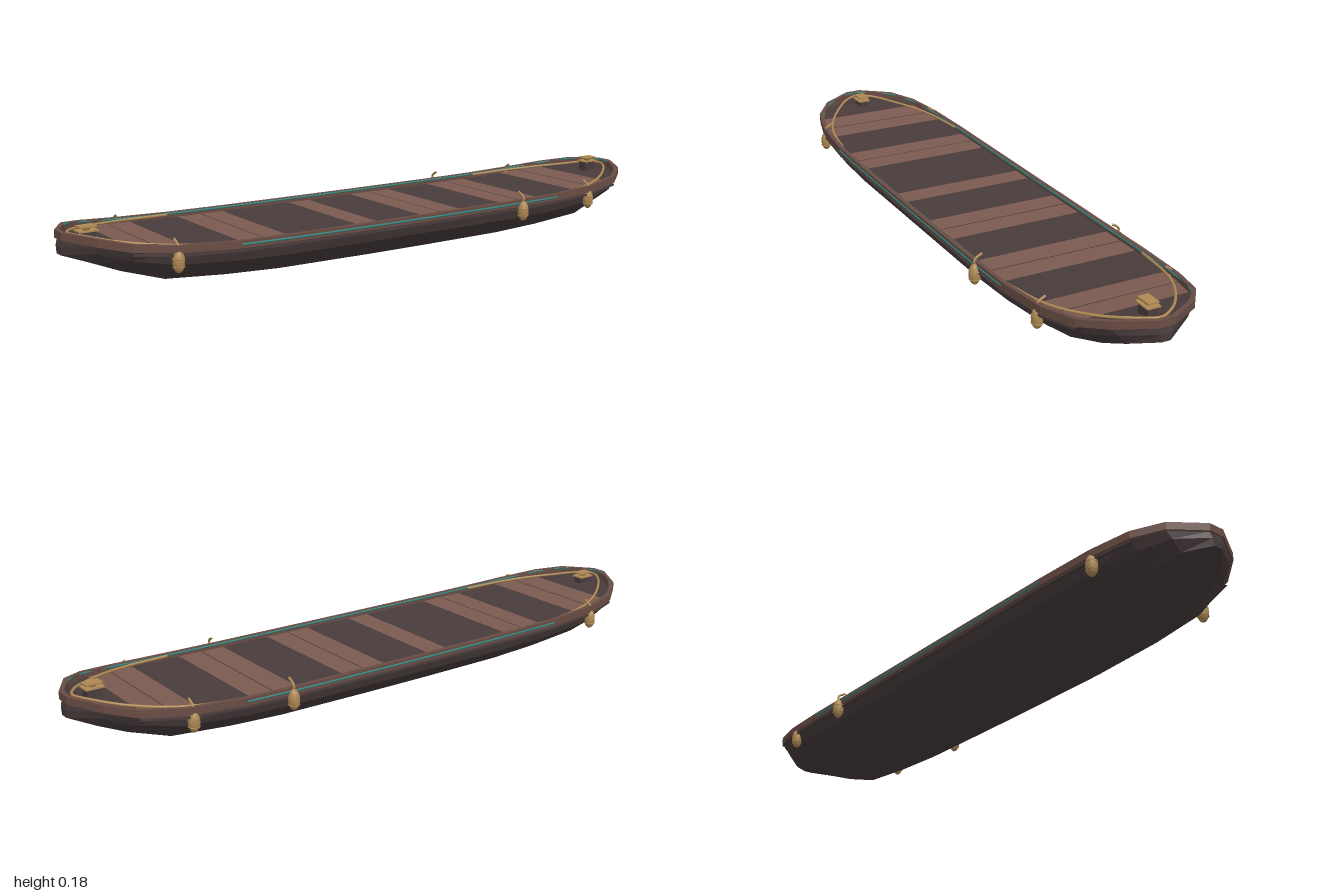
import * as THREE from 'three';

const mat = (name, color, flatShading = true, side = THREE.FrontSide) =>
  Object.assign(new THREE.MeshStandardMaterial({ color, flatShading, side }), { name });

// Stations from bow to midship:
// x, rail half width, rail top y, chine half width, chine y, bilge half width, bilge y
const S = [
  [1.0, 0.025, 0.163, 0.013, 0.1, 0.018, 0.122],
  [0.942, 0.125, 0.157, 0.077, 0.084, 0.105, 0.114],
  [0.868, 0.183, 0.144, 0.1, 0.056, 0.158, 0.095],
  [0.75, 0.214, 0.132, 0.12, 0.021, 0.195, 0.075],
  [0.57, 0.228, 0.124, 0.128, 0.009, 0.206, 0.064],
  [0.4, 0.23, 0.122, 0.13, 0.002, 0.21, 0.06],
  [0.1, 0.231, 0.121, 0.13, 0, 0.21, 0.06],
];
const N = S.length;

// Closed plan loop: each entry is [x sign, z sign, station]
const R = [...S].reverse();
const LOOP = [
  ...S.map(s => [1, 1, s]), ...R.map(s => [-1, 1, s]),
  ...S.map(s => [-1, -1, s]), ...R.map(s => [1, -1, s]),
];
const M = LOOP.length;

// Outward plan normal at every rail point
const NORMAL = LOOP.map((_, i) => {
  const at = k => { const [a, b, s] = LOOP[(k + M) % M]; return new THREE.Vector2(a * s[0], b * s[1]); };
  const t = at(i + 1).sub(at(i - 1)).normalize();
  return new THREE.Vector2(t.y, -t.x);
});

function geometry(points, index) {
  const g = new THREE.BufferGeometry();
  g.setAttribute('position', new THREE.Float32BufferAttribute(points.flat(), 3));
  g.setIndex(index);
  g.computeVertexNormals();
  return g;
}

// Joins stacked loops of M points over a span, optionally back to the first loop
function skin(layers, closed, from = 0, to = M) {
  const index = [];
  const L = layers.length;
  for (let l = 0; l < (closed ? L : L - 1); l++) {
    for (let i = from; i < to; i++) {
      const j = (i + 1) % M, u = ((l + 1) % L) * M, o = l * M;
      index.push(o + i, u + i, o + j, o + j, u + i, u + j);
    }
  }
  return index;
}

// A loop following the rail, moved inward and below the rail top
const railLoop = (inset, drop) => LOOP.map(([a, b, s], i) => [
  a * s[0] - NORMAL[i].x * inset, s[2] - drop, b * s[1] - NORMAL[i].y * inset]);

// A rectangular moulding along the rail
function moulding(inset0, inset1, drop0, drop1, from, to) {
  const layers = [[inset0, drop1], [inset0, drop0], [inset1, drop0], [inset1, drop1]]
    .map(p => railLoop(...p));
  return geometry(layers.flat(), skin(layers, true, from, to));
}

// A round cord through points
function cord(points, radius, closed = false) {
  const path = new THREE.CatmullRomCurve3(points.map(p => new THREE.Vector3(...p)), closed, 'centripetal');
  return new THREE.TubeGeometry(path, points.length * 10, radius, 18, closed);
}

// Flat cap between the two sides of a loop
function cap(offset, up) {
  const index = [];
  for (let i = 0; i < 2 * N - 1; i++) {
    const a = offset + i, b = a + 1, c = offset + M - 1 - i, d = c - 1;
    index.push(...(up ? [a, c, b, b, c, d] : [a, b, c, b, d, c]));
  }
  return index;
}

// Linear lookup of a station column at x
function sample(x, col) {
  x = Math.abs(x);
  for (let i = 0; i < N - 1; i++) {
    const p = S[i], q = S[i + 1];
    if (x >= q[0]) return q[col] + (p[col] - q[col]) * (x - q[0]) / (p[0] - q[0]);
  }
  return S[N - 1][col];
}

export function createModel() {
  const hullMat = mat('dark hull', 0x453939, true, THREE.DoubleSide);
  const railMat = mat('rail wood', 0x694c44);
  const lightWood = mat('light wood', 0x7b5a50);
  const darkWood = mat('dark wood', 0x493b3b);
  const gold = mat('rope and brass', 0xad8853, false);
  const teal = mat('teal trim', 0x35807a, false);

  const boat = new THREE.Group();
  boat.name = 'boat';
  const add = (name, geo, material, parent = boat) => {
    const m = new THREE.Mesh(geo, material);
    m.name = name;
    parent.add(m);
    return m;
  };

  // Hull: chine, bilge, strake and under-deck loops
  const layers = [
    LOOP.map(([a, b, s]) => [a * s[0], s[4], b * s[3]]),
    LOOP.map(([a, b, s]) => [a * s[0], s[6], b * s[5]]),
    railLoop(0.007, 0.021),
    railLoop(0.01, 0.022),
  ];
  add('hull', geometry(layers.flat(), [...skin(layers, false), ...cap(0, false), ...cap(3 * M, true)]), hullMat);

  // Rail with a teal cord along its inner edge
  add('rail', moulding(0, 0.013, 0, 0.022), railMat);
  add('innerTrim', cord(railLoop(0.014, 0.004), 0.003, true), teal);

  // Rubbing strip and teal cord along each long side
  const outerPoints = railLoop(0.001, 0.011);
  for (const first of [0, 2 * N]) {
    const last = first + 2 * N - 1;
    add('rubbingStrip', moulding(0.001, 0.012, 0.026, 0.032, first + 2, last - 2), darkWood);
    add('outerTrim', cord(outerPoints.slice(first + 4, last - 3), 0.0035), teal);
  }

  // Rope swept around each end, cutting inside the rail
  const ropeHalf = [[0.58, 0.212], [0.72, 0.19], [0.8, 0.16], [0.88, 0.11], [0.945, 0.05]];
  for (const end of [1, -1]) {
    const plan = [...ropeHalf, [0.972, 0], ...[...ropeHalf].reverse().map(([x, z]) => [x, -z])];
    add('endRope', cord(plan.map(([x, z]) => [end * x, sample(x, 2) - 0.006, z]), 0.0038), gold);
  }

  // Deck planks across the boat
  const pattern = 'DLLDDLLDDDLDDLLDDLLDDLLD';
  const step = 0.0775;
  [...pattern].forEach((c, i) => {
    const x0 = -0.93 + i * step, x1 = x0 + step - 0.004;
    const edge = x => [sample(x, 2) - 0.016, Math.max(0.02, sample(x, 1) - 0.012)];
    const [y0, z0] = edge(x0), [y1, z1] = edge(x1);
    add('deckPlank', geometry(
      [[x0, y0, z0], [x1, y1, z1], [x1, y1, -z1], [x0, y0, -z0]], [0, 1, 2, 0, 2, 3]),
    c === 'L' ? lightWood : darkWood);
  });

  // Mooring bollards at both ends
  for (const [x, top] of [[0.915, 0.179], [-0.92, 0.169]]) {
    const g = new THREE.Group();
    g.name = 'bollard';
    g.position.set(x, top, 0);
    boat.add(g);
    add('bollardPedestal', new THREE.BoxGeometry(0.044, 0.03, 0.03), darkWood, g).position.y = -0.031;
    add('bollardBase', new THREE.BoxGeometry(0.056, 0.004, 0.042), gold, g).position.y = -0.014;
    add('bollardPost', new THREE.CylinderGeometry(0.015, 0.009, 0.009, 18), gold, g).position.y = -0.008;
    add('bollardCap', new THREE.BoxGeometry(0.05, 0.005, 0.034), gold, g).position.y = -0.0025;
  }

  // Hanging fenders with bands and hooks
  for (const [x, z] of [[-0.75, 0.207], [0.725, 0.207], [0.425, 0.233]]) {
    for (const side of [1, -1]) {
      const g = new THREE.Group();
      g.name = 'fender';
      g.position.set(x, 0.087, side * z);
      boat.add(g);
      add('fenderBody', new THREE.SphereGeometry(0.017, 20, 14), gold, g).scale.y = 1.85;
      for (const y of [0.009, -0.014]) {
        const band = add('fenderBand', new THREE.TorusGeometry(0.0158, 0.0015, 8, 20), gold, g);
        band.rotation.x = Math.PI / 2;
        band.position.y = y;
      }
      const hook = [[0, 0.026, 0], [0, 0.04, 0.001], [0, 0.047, -0.004], [0, 0.058, -0.023]];
      add('fenderHook', cord(hook.map(([a, b, c]) => [a, b, c * side]), 0.0035), gold, g);
    }
  }
  return boat;
}
